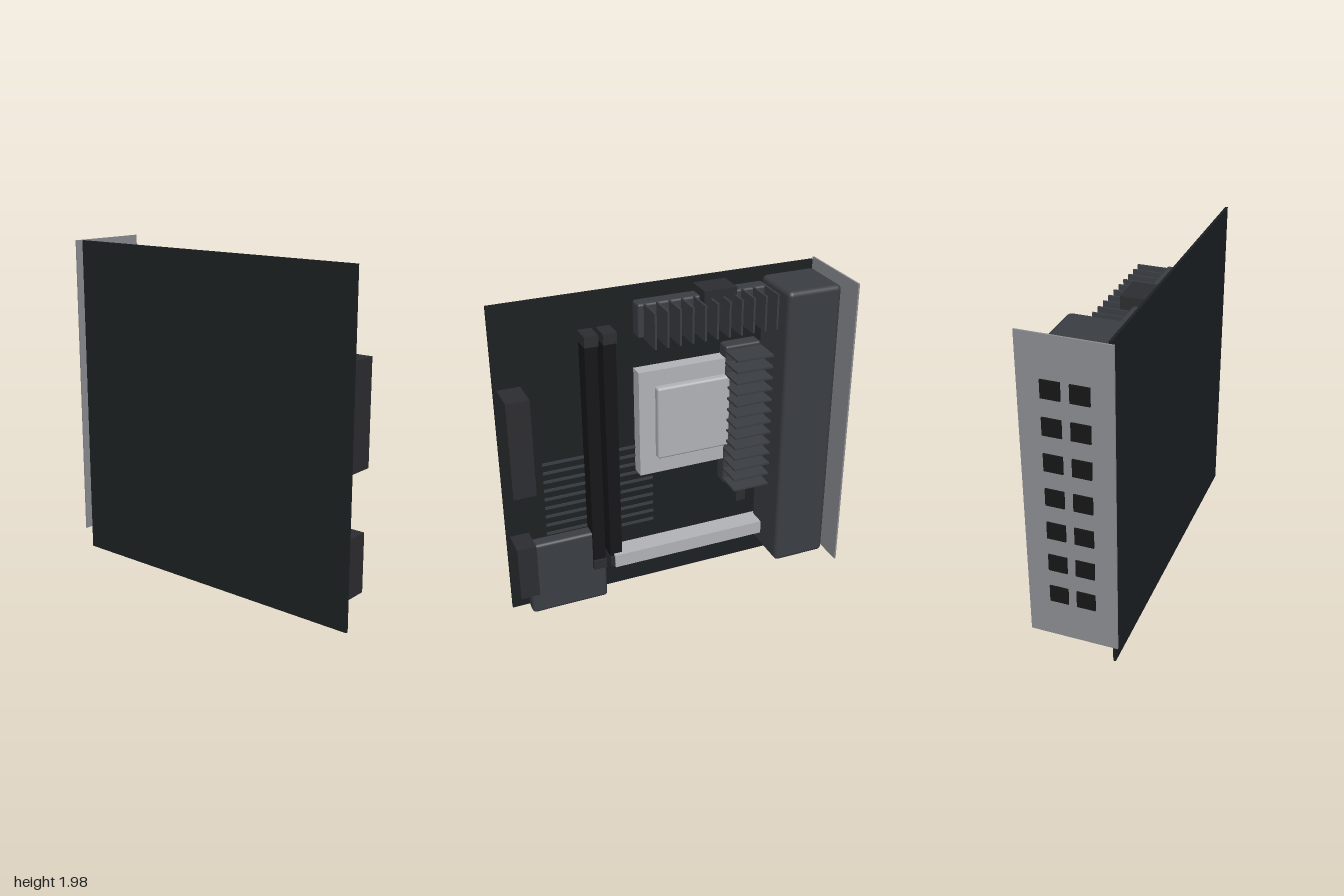
import * as THREE from 'three';
import { RoundedBoxGeometry } from 'three/addons/geometries/RoundedBoxGeometry.js';

const mat = (color) => new THREE.MeshStandardMaterial({ color });
const BOARD_FACE = -0.215;

export function createModel() {
  const model = new THREE.Group();
  const pcb = mat(0x1c2022), armour = mat(0x3a3d42), connector = mat(0x2c2d30);
  const black = mat(0x161618), silver = mat(0xb0b3b7), steel = mat(0x8b8d91);

  // Box given by its extents on each axis; a radius rounds the edges
  function block(name, material, [x0, x1], [y0, y1], [z0, z1], radius = 0, parent = model) {
    const size = [x1 - x0, y1 - y0, z1 - z0];
    const geometry = radius ? new RoundedBoxGeometry(...size, 3, radius) : new THREE.BoxGeometry(...size);
    const mesh = new THREE.Mesh(geometry, material);
    mesh.position.set((x0 + x1) / 2, (y0 + y1) / 2, (z0 + z1) / 2);
    mesh.name = name;
    parent.add(mesh);
    return mesh;
  }
  function group(name) {
    const g = new THREE.Group();
    g.name = name;
    model.add(g);
    return g;
  }

  // Circuit board with raised trace lines
  block('circuitBoard', pcb, [-0.23, BOARD_FACE], [0.02, 1.98], [-0.957, 1]);
  const traces = group('traceLines');
  for (let i = 0; i < 10; i++) {
    const y = 0.44 + i * 0.0592;
    block('traceLine', armour, [BOARD_FACE, -0.209], [y - 0.009, y + 0.009], [0.07, 0.755], 0, traces);
  }

  // Rear port cover and shield plate with two columns of openings
  block('portCover', armour, [BOARD_FACE, 0.13], [0.14, 1.935], [-0.96, -0.622], 0.03);
  block('shieldPlate', steel, [-0.255, 0.255], [0.145, 1.98], [-0.99, -0.98]);
  const ports = group('portOpenings');
  for (let row = 0; row < 7; row++) {
    const y = 0.435 + row * 0.209;
    for (const x of [-0.08, 0.075]) {
      block('portOpening', black, [x - 0.053, x + 0.053], [y - 0.051, y + 0.051], [-1, -0.989], 0, ports);
    }
  }

  // Upper heatsink, fins spaced along z
  const upper = group('upperHeatsink');
  block('upperHeatsinkBase', armour, [BOARD_FACE, -0.12], [1.695, 1.9], [-0.622, 0.18], 0.015, upper);
  for (let i = 0; i < 11; i++) {
    const z = 0.14 - i * 0.0743;
    block('upperFin', armour, [-0.125, 0.04], [1.69, 1.9], [z - 0.006, z + 0.006], 0, upper);
  }

  // Side heatsink, fins spaced along y, with a stem below
  const side = group('sideHeatsink');
  block('sideHeatsinkBase', armour, [BOARD_FACE, -0.12], [0.64, 1.56], [-0.59, -0.363], 0.015, side);
  for (let i = 0; i < 13; i++) {
    const y = 0.675 + i * 0.0712;
    block('sideFin', armour, [-0.125, 0.04], [y - 0.006, y + 0.006], [-0.592, -0.36], 0, side);
  }
  block('heatsinkStem', connector, [BOARD_FACE, -0.14], [0.475, 0.66], [-0.53, -0.468], 0, side);

  // Processor socket and lid
  block('processorSocket', silver, [BOARD_FACE, -0.13], [0.815, 1.485], [-0.49, 0.18]);
  block('processorLid', silver, [-0.16, -0.087], [0.925, 1.385], [-0.38, 0.08], 0.015);

  // Memory slots with end clips
  for (const z of [0.355, 0.463]) {
    const slot = group('memorySlot');
    block('slotBody', black, [BOARD_FACE, -0.112], [0.29, 1.71], [z - 0.038, z + 0.038], 0, slot);
    for (const [y0, y1] of [[0.24, 0.3], [1.705, 1.77]]) {
      block('slotClip', connector, [BOARD_FACE, -0.097], [y0, y1], [z - 0.041, z + 0.041], 0, slot);
    }
  }

  // Expansion slot and lower chip cover
  block('expansionSlot', silver, [BOARD_FACE, -0.085], [0.23, 0.315], [-0.63, 0.37]);
  block('chipCover', armour, [BOARD_FACE, -0.125], [0.005, 0.49], [0.415, 0.895], 0.02);

  // Power and data connectors
  block('topPowerConnector', connector, [BOARD_FACE, -0.055], [1.83, 1.945], [-0.39, -0.19]);
  block('mainPowerConnector', connector, [BOARD_FACE, -0.032], [0.89, 1.49], [0.845, 0.98]);
  block('dataConnector', connector, [BOARD_FACE, -0.052], [0.19, 0.535], [0.865, 0.98]);

  return model;
}
